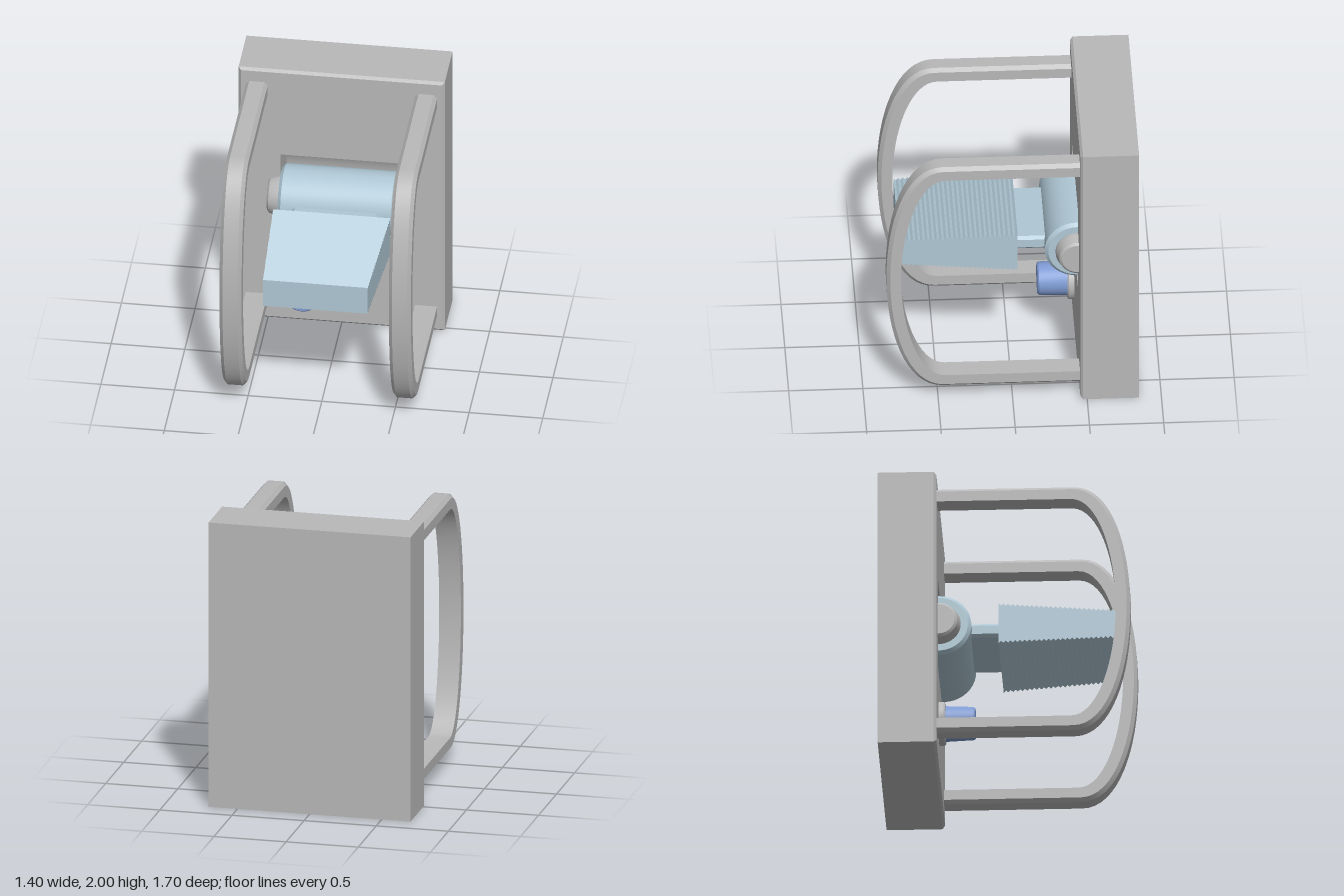
import * as THREE from 'three';
import { toCreasedNormals } from 'three/addons/utils/BufferGeometryUtils.js';

const V = (x, y, z) => new THREE.Vector3(x, y, z);

// Skin through closed rings; each ring runs counter-clockwise seen from ahead
function loft(rings, capStart, capEnd) {
  const out = [];
  const tri = (...p) => p.forEach((v) => out.push(v.x, v.y, v.z));
  const n = rings[0].length;
  for (let i = 0; i < rings.length - 1; i++) {
    for (let j = 0; j < n; j++) {
      const k = (j + 1) % n, [r, s] = [rings[i], rings[i + 1]];
      tri(r[j], r[k], s[k]);
      tri(r[j], s[k], s[j]);
    }
  }
  const last = rings[rings.length - 1];
  for (let j = 1; j < n - 1; j++) {
    if (capStart) tri(rings[0][0], rings[0][j + 1], rings[0][j]);
    if (capEnd) tri(last[0], last[j], last[j + 1]);
  }
  const g = new THREE.BufferGeometry();
  g.setAttribute('position', new THREE.Float32BufferAttribute(out, 3));
  return toCreasedNormals(g, 0.35);
}

// Turned solid, profile given as [radius, height] from bottom to top
const turned = (profile) =>
  toCreasedNormals(new THREE.LatheGeometry(profile.map(([r, h]) => new THREE.Vector2(r, h)), 40), 0.35);

const rect = (w, y0, y1, z) => [V(-w, y0, z), V(w, y0, z), V(w, y1, z), V(-w, y1, z)];

export function createModel() {
  const model = new THREE.Group();
  const grey = new THREE.MeshStandardMaterial({ color: 0xb8b8b8, side: THREE.DoubleSide });
  grey.name = 'grey metal';
  const paleBlue = new THREE.MeshStandardMaterial({ color: 0xafc8d5 });
  paleBlue.name = 'pale blue';
  const blue = new THREE.MeshStandardMaterial({ color: 0x7f9bd3 });
  blue.name = 'button blue';

  const add = (name, geometry, material, parent = model) => {
    const mesh = new THREE.Mesh(geometry, material);
    mesh.name = name;
    parent.add(mesh);
    return mesh;
  };

  const FRONT = -0.455, CX = -0.01, CY = 1.005, AXIS = -0.45;

  // Panel: chamfered shell and a front face with an opening
  const panel = new THREE.Group();
  panel.name = 'panel';
  model.add(panel);
  const c = 0.018;
  add('panelShell', loft([rect(0.7, 0, 2, -0.85), rect(0.7, 0, 2, FRONT - c),
    rect(0.7 - c, c, 2 - c, FRONT)], true, false), grey, panel);
  const pocketR = 0.322, pocketHalf = 0.405;
  const face = new THREE.Shape(rect(0.7 - c, c, 2 - c, 0).map((p) => new THREE.Vector2(p.x, p.y)));
  face.holes.push(new THREE.Path(rect(pocketHalf, CY - pocketR, CY + pocketR, 0)
    .map((p) => new THREE.Vector2(p.x + CX, p.y))));
  add('panelFace', new THREE.ShapeGeometry(face), grey, panel).position.z = FRONT;

  // Half-round pocket behind the drum
  const pocket = new THREE.CylinderGeometry(pocketR, pocketR, pocketHalf * 2, 32, 1, true, Math.PI / 2, Math.PI);
  add('pocketWall', pocket.rotateZ(Math.PI / 2), grey, panel).position.set(CX, CY, FRONT);
  for (const s of [-1, 1]) {
    const end = new THREE.CircleGeometry(pocketR, 32, -Math.PI / 2, Math.PI).rotateY(Math.PI / 2);
    add('pocketEnd', end, grey, panel).position.set(CX + s * pocketHalf, CY, FRONT);
  }

  // Pivot drum with tapered end caps
  const drum = turned([[0, -0.397], [0.195, -0.397], [0.218, -0.375], [0.218, 0.375], [0.195, 0.397], [0, 0.397]]);
  add('drum', drum.rotateZ(Math.PI / 2), paleBlue).position.set(CX, CY, AXIS);
  for (const s of [-1, 1]) {
    const cap = turned([[0.147, 0.38], [0.147, 0.41], [0.125, 0.475], [0.108, 0.488], [0, 0.488]]);
    add('drumCap', cap.rotateZ(-s * Math.PI / 2), grey).position.set(CX + 0.005, CY, AXIS);
  }

  // Neck joining drum and paddle
  const [nw, nh, nc] = [0.297, 0.05, 0.02];
  const neckRing = (z) => [[-nw + nc, -nh], [nw - nc, -nh], [nw, -nh + nc], [nw, nh - nc],
    [nw - nc, nh], [-nw + nc, nh], [-nw, nh - nc], [-nw, -nh + nc]].map(([x, y]) => V(CX + x, CY + y, z));
  add('neck', loft([neckRing(-0.28), neckRing(-0.03)], true, true), paleBlue);

  // Tapered paddle with ridges across its top and bottom
  const teeth = 25, z0 = -0.048, z1 = 0.75;
  const edge = [];
  for (let i = 0; i <= teeth * 2; i++) {
    const t = i / (teeth * 2);
    edge.push([z0 + (z1 - z0) * t, 0.147 - 0.043 * t - (i % 2 ? 0.015 : 0)]);
  }
  const profile = new THREE.Shape([
    ...edge.map(([z, h]) => new THREE.Vector2(z, -h)),
    ...edge.slice().reverse().map(([z, h]) => new THREE.Vector2(z, h)),
  ]);
  const paddle = new THREE.ExtrudeGeometry(profile, { depth: 2, bevelEnabled: false })
    .translate(0, 0, -1).rotateY(-Math.PI / 2);
  const pos = paddle.attributes.position;
  for (let i = 0; i < pos.count; i++) {
    const t = (pos.getZ(i) - z0) / (z1 - z0);
    pos.setX(i, pos.getX(i) * (0.397 - 0.042 * t));
  }
  paddle.computeVertexNormals();
  add('paddle', paddle, paleBlue).position.set(CX, CY, 0);

  // Push button and its collar
  const collar = turned([[0.148, 0], [0.148, 0.035], [0.138, 0.045], [0, 0.045]]);
  add('buttonCollar', collar.rotateX(Math.PI / 2), grey).position.set(-0.236, 0.343, FRONT);
  const button = turned([[0.121, 0.03], [0.112, 0.235], [0.102, 0.245], [0, 0.245]]);
  add('button', button.rotateX(Math.PI / 2), blue).position.set(-0.236, 0.343, FRONT);

  // Guard bars: straight arms joined by a bowed front
  const outer = new THREE.CubicBezierCurve3(V(0, 0.9, 0.47), V(0, 0.9, 0.72), V(0, 0.45, 0.848), V(0, 0, 0.848));
  const inner = new THREE.CubicBezierCurve3(V(0, 0.803, 0.45), V(0, 0.803, 0.63), V(0, 0.4, 0.75), V(0, 0, 0.75));
  const pairs = [[V(0, 0.9, FRONT - 0.01), V(0, 0.803, FRONT - 0.01)]];
  const steps = 16;
  for (let i = 0; i <= steps; i++) pairs.push([outer.getPoint(i / steps), inner.getPoint(i / steps)]);
  const lower = pairs.slice(0, -1).reverse().map((p) => p.map((v) => V(0, -v.y, v.z)));
  const hw = 0.075, ch = 0.024;
  const rings = [...pairs, ...lower].map(([o, n]) => {
    const side = o.clone().lerp(n, 0.25);
    return [[n, -hw], [n, hw], [side, hw], [o, hw - ch], [o, ch - hw], [side, -hw]]
      .map(([p, x]) => V(x, p.y, p.z));
  });
  const bar = loft(rings, true, true);
  for (const s of [-1, 1]) add(s > 0 ? 'leftGuardBar' : 'rightGuardBar', bar, grey).position.set(s * 0.575, 1, 0);

  return model;
}
